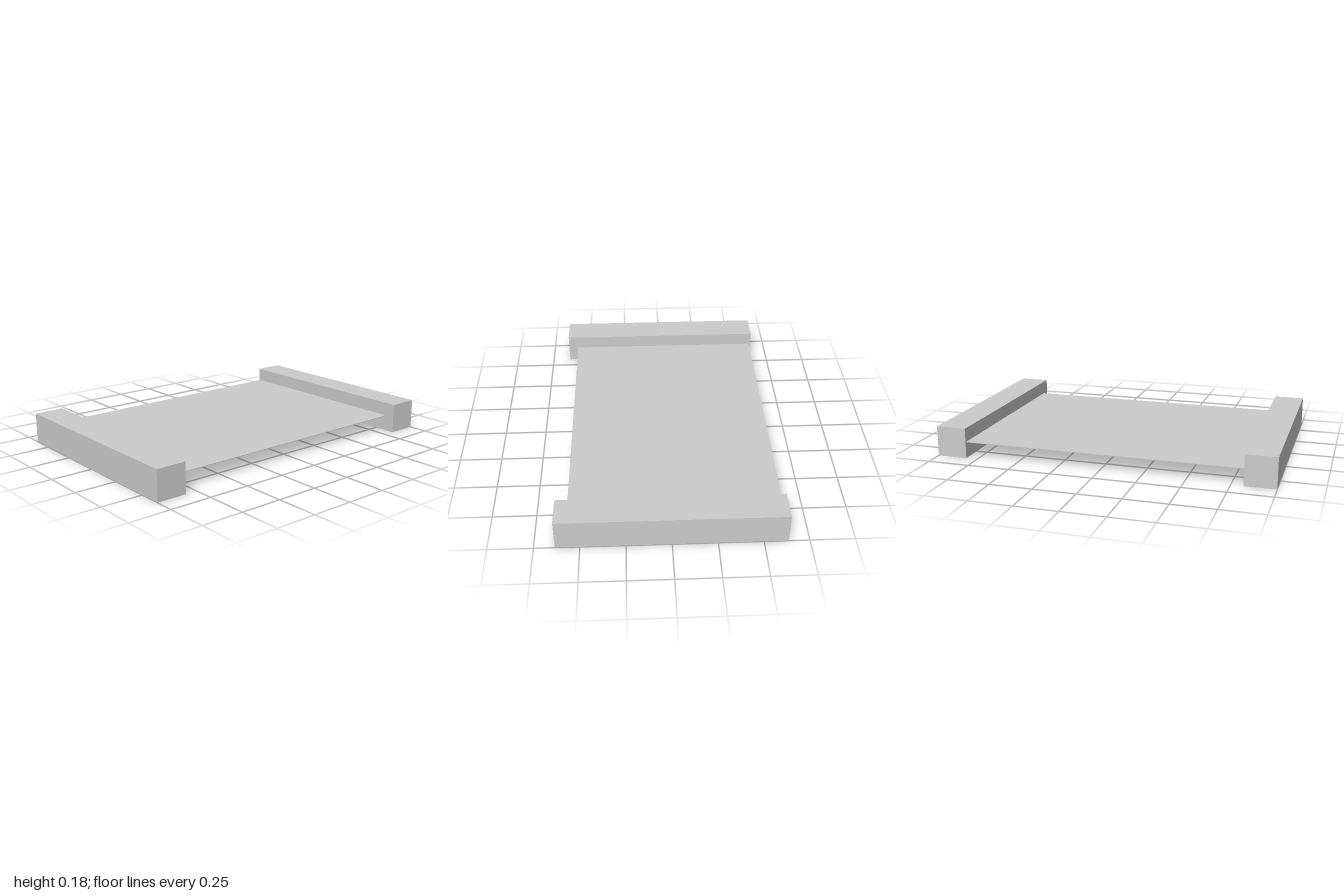
import * as THREE from 'three';

export function createModel() {
  const model = new THREE.Group();
  const material = new THREE.MeshStandardMaterial({ color: 0xcccccc, flatShading: true });

  const addBox = (name, size, position) => {
    const mesh = new THREE.Mesh(new THREE.BoxGeometry(...size), material);
    mesh.name = name;
    mesh.position.set(...position);
    model.add(mesh);
  };

  // Square beams along both sides
  const beam = 0.18;
  const depth = 1.27;
  for (const [name, side] of [['leftBeam', 1], ['rightBeam', -1]]) {
    addBox(name, [beam, beam, depth], [side * (1 - beam / 2), beam / 2, 0]);
  }

  // Thin panel between the beams, set back from the front
  const back = -0.625;
  const front = 0.573;
  addBox('panel', [2 - 2 * beam, 0.004, front - back], [0, 0.096, (front + back) / 2]);

  return model;
}
